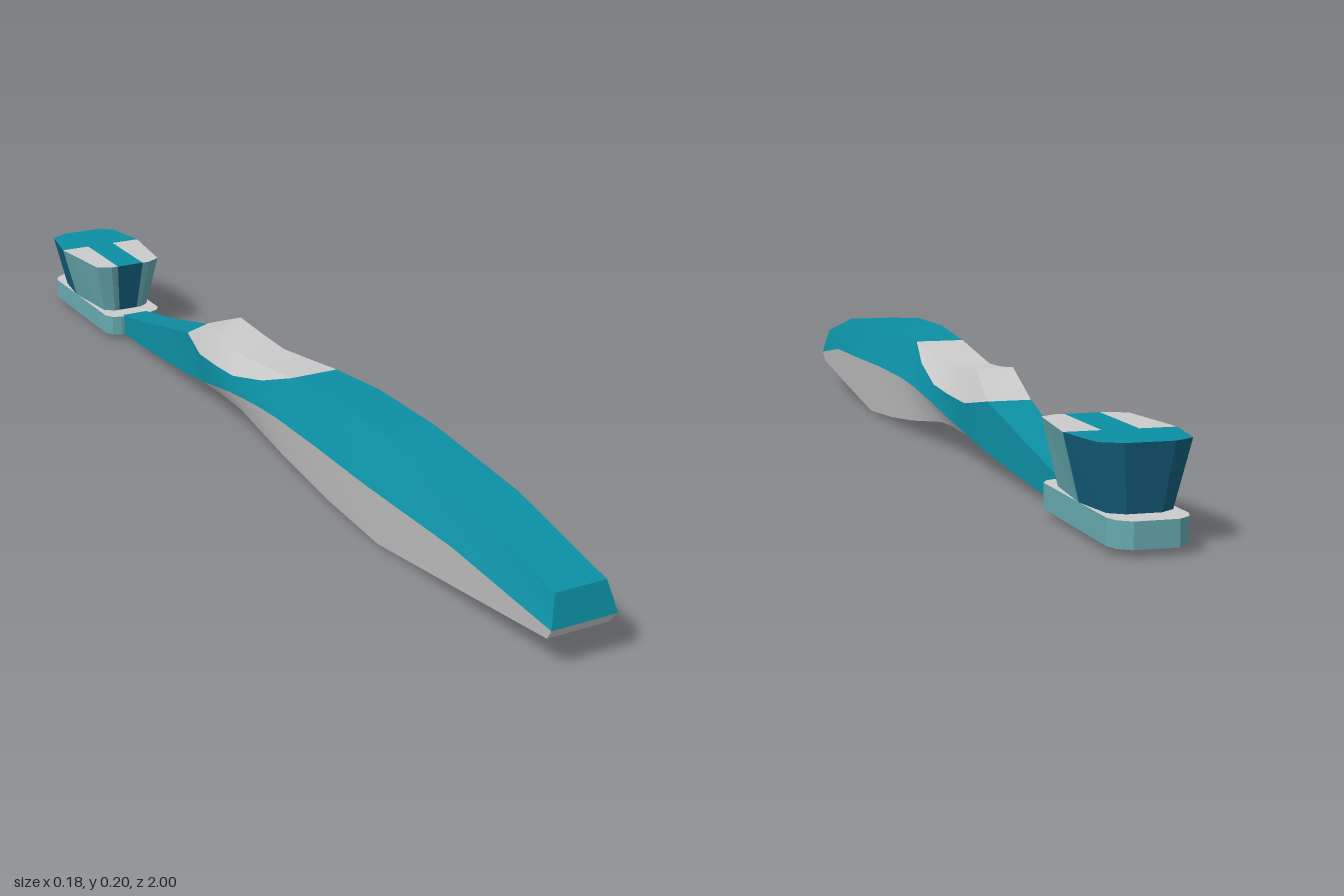
import * as THREE from 'three';

const paint = (color) => new THREE.MeshStandardMaterial({ color, side: THREE.DoubleSide });

// Handle stations, tip to neck: z, then half width and height of
// the bottom edge, colour seam, pad shoulder and top edge.
const STATIONS = [
  [0.99, 0.058, 0.052, 0.062, 0.073, 0.048, 0.127, 0.048, 0.127],
  [0.75, 0.062, 0.028, 0.079, 0.108, 0.048, 0.177, 0.048, 0.177],
  [0.50, 0.062, 0.000, 0.088, 0.116, 0.048, 0.200, 0.048, 0.200],
  [0.32, 0.062, 0.012, 0.087, 0.120, 0.048, 0.202, 0.048, 0.202],
  [0.16, 0.058, 0.028, 0.082, 0.117, 0.048, 0.188, 0.048, 0.188],
  [0.07, 0.055, 0.040, 0.079, 0.110, 0.062, 0.155, 0.046, 0.177],
  [-0.04, 0.052, 0.055, 0.075, 0.096, 0.068, 0.128, 0.044, 0.164],
  [-0.12, 0.050, 0.056, 0.066, 0.078, 0.063, 0.120, 0.042, 0.168],
  [-0.21, 0.050, 0.054, 0.050, 0.054, 0.057, 0.115, 0.036, 0.178],
  [-0.30, 0.044, 0.040, 0.044, 0.040, 0.041, 0.130, 0.041, 0.130],
  [-0.42, 0.036, 0.026, 0.036, 0.026, 0.035, 0.103, 0.035, 0.103],
  [-0.53, 0.032, 0.017, 0.032, 0.017, 0.031, 0.078, 0.031, 0.078],
  [-0.67, 0.029, 0.012, 0.029, 0.012, 0.028, 0.053, 0.028, 0.053],
];
const BOTTOM = 0, SEAM = 1, SHOULDER = 2, TOP = 3;

// Edge point of a station; the tip bulges forward at the seam
function edge(i, level, side) {
  const s = STATIONS[i];
  const z = i === 0 ? (level === SEAM ? 1 : 0.985) : s[0];
  return [side * s[1 + level * 2], s[2 + level * 2], z];
}

// One strip between two edges: smooth lengthwise, sharp at its borders
function strip(a, b, from, to) {
  const pos = [], index = [];
  for (let i = from; i <= to; i++) {
    pos.push(...edge(i, ...a), ...edge(i, ...b));
    if (i < to) {
      const k = (i - from) * 2;
      index.push(k, k + 2, k + 1, k + 1, k + 2, k + 3);
    }
  }
  const g = new THREE.BufferGeometry();
  g.setAttribute('position', new THREE.Float32BufferAttribute(pos, 3));
  g.setIndex(index);
  g.computeVertexNormals();
  return g;
}

// Flat four-cornered end face, facing +z
function endFace(low, high) {
  const g = new THREE.BufferGeometry();
  const p = [edge(0, low, -1), edge(0, low, 1), edge(0, high, 1), edge(0, high, -1)];
  g.setAttribute('position', new THREE.Float32BufferAttribute(p.flat(), 3));
  g.setIndex([0, 1, 2, 0, 2, 3]);
  g.computeVertexNormals();
  return g;
}

function part(name, material, geometries) {
  const group = new THREE.Group();
  group.name = name;
  for (const g of geometries) {
    const mesh = new THREE.Mesh(g, material);
    mesh.name = name;
    group.add(mesh);
  }
  return group;
}

// Upright prism from an outline of [x, z] points
function prism(outline, y, height) {
  const shape = new THREE.Shape(outline.map(([x, z]) => new THREE.Vector2(x, -z)));
  const g = new THREE.ExtrudeGeometry(shape, { depth: height, bevelEnabled: false });
  return g.rotateX(-Math.PI / 2).translate(0, y, 0);
}

// Completes a right-hand outline with its mirror image
const mirrored = (half) => [...half, ...half.map(([x, z]) => [-x, z]).reverse()];

// Bristle block: full size at the top, narrower at its foot
function tuft(name, outline, materials) {
  const y0 = 0.054, y1 = 0.163, midZ = -0.825;
  const g = prism(outline, y0, y1 - y0);
  const p = g.attributes.position;
  for (let i = 0; i < p.count; i++) {
    if (p.getY(i) < 0.1) {
      p.setX(i, p.getX(i) * 0.7);
      p.setZ(i, midZ + (p.getZ(i) - midZ) * 0.86);
    }
  }
  g.computeVertexNormals();
  const mesh = new THREE.Mesh(g, materials);
  mesh.name = name;
  return mesh;
}

export function createModel() {
  const model = new THREE.Group();
  model.name = 'toothbrush';
  const teal = paint(0x0c8fa3), grey = paint(0xcccccc);
  const pale = paint(0x66aab0), blue = paint(0x14607f);
  const last = STATIONS.length - 1, padStart = 4, padEnd = 9, seamEnd = 8;

  // Handle: upper shell with neck, lower grip and thumb pad
  const shell = [
    strip([SEAM, 1], [SHOULDER, 1], 0, last),
    strip([SHOULDER, -1], [SEAM, -1], 0, last),
    strip([TOP, 1], [TOP, -1], 0, padStart),
    strip([TOP, 1], [TOP, -1], padEnd, last),
    strip([BOTTOM, -1], [BOTTOM, 1], seamEnd, last),
    endFace(SEAM, TOP),
  ];
  const grip = [
    strip([BOTTOM, 1], [SEAM, 1], 0, seamEnd),
    strip([SEAM, -1], [BOTTOM, -1], 0, seamEnd),
    strip([BOTTOM, -1], [BOTTOM, 1], 0, seamEnd),
    endFace(BOTTOM, SEAM),
  ];
  const pad = [
    strip([SHOULDER, 1], [TOP, 1], padStart, padEnd),
    strip([TOP, 1], [TOP, -1], padStart, padEnd),
    strip([TOP, -1], [SHOULDER, -1], padStart, padEnd),
  ];
  model.add(part('handleShell', teal, shell), part('lowerGrip', grey, grip), part('thumbPad', grey, pad));

  // Head plate with clipped corners
  const plate = mirrored([
    [0.036, -0.655], [0.054, -0.663], [0.064, -0.68],
    [0.064, -0.965], [0.056, -0.985], [0.036, -1],
  ]);
  const head = new THREE.Mesh(prism(plate, 0.012, 0.042), [grey, pale]);
  head.name = 'headPlate';
  model.add(head);

  // Bristles: T-shaped centre block and two outer blocks
  const centre = mirrored([
    [0.03, -0.68], [0.03, -0.85], [0.092, -0.85], [0.075, -0.95], [0.04, -0.97],
  ]);
  model.add(tuft('centreBristles', centre, [teal, blue]));
  for (const s of [1, -1]) {
    const outer = [[0.03, -0.68], [0.045, -0.68], [0.074, -0.697], [0.092, -0.85], [0.03, -0.85]];
    model.add(tuft(s > 0 ? 'leftBristles' : 'rightBristles', outer.map(([x, z]) => [s * x, z]), [grey, pale]));
  }
  return model;
}
